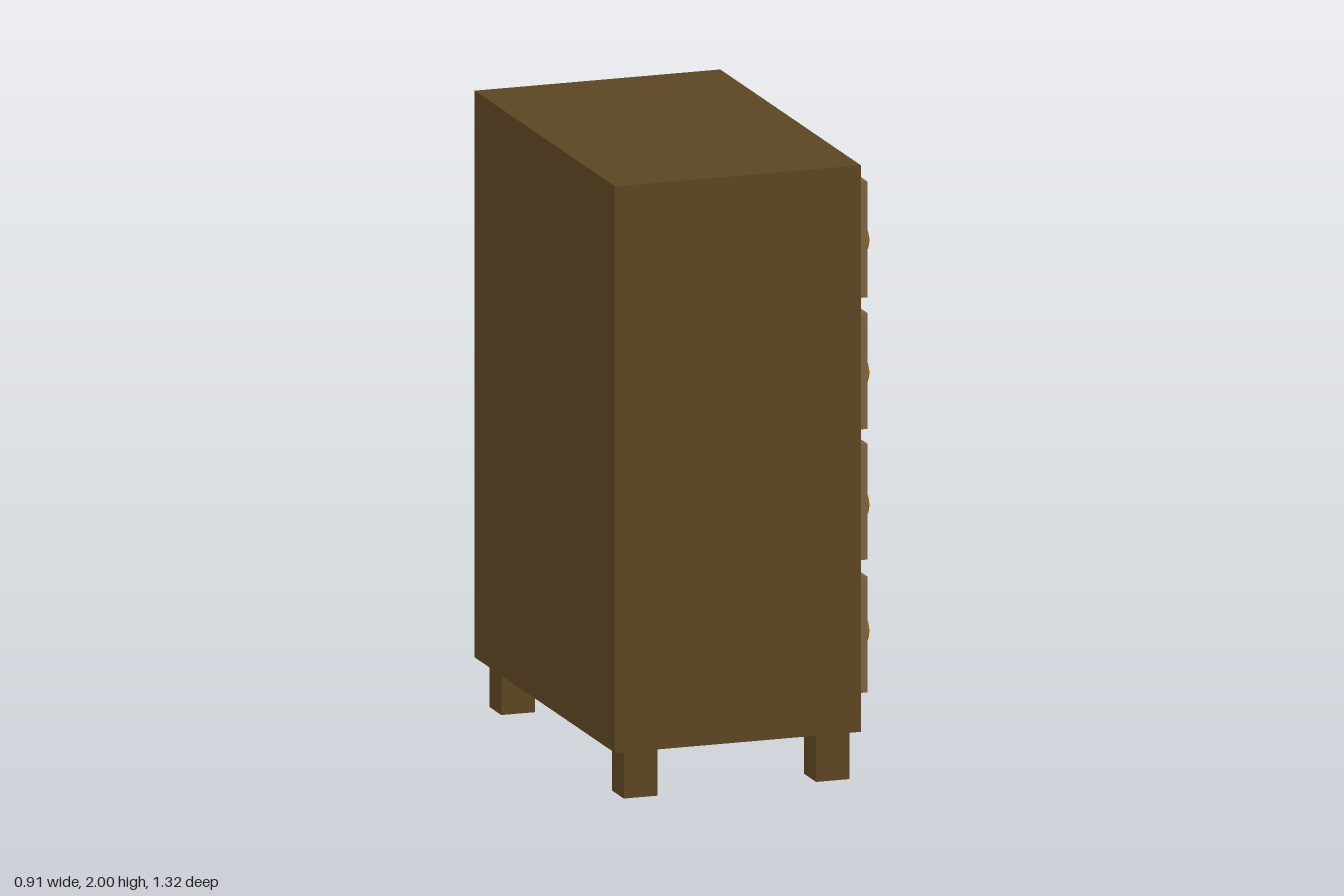
import * as THREE from 'three';

const wood = new THREE.MeshStandardMaterial({ color: 0x5c4522 });
const panel = new THREE.MeshStandardMaterial({ color: 0x7c6342 });
const brass = new THREE.MeshStandardMaterial({ color: 0xb08010 });

// Box given by its minimum and maximum corners
function box(name, material, [x0, y0, z0], [x1, y1, z1]) {
  const mesh = new THREE.Mesh(new THREE.BoxGeometry(x1 - x0, y1 - y0, z1 - z0), material);
  mesh.position.set((x0 + x1) / 2, (y0 + y1) / 2, (z0 + z1) / 2);
  mesh.name = name;
  return mesh;
}

export function createModel() {
  const model = new THREE.Group();
  model.name = 'chestOfDrawers';

  // Cabinet body
  model.add(box('cabinet', wood, [-0.455, 0.157, -0.66], [0.368, 2, 0.662]));

  // Four square legs
  for (const x of [-0.361, 0.283]) {
    for (const z of [-0.571, 0.581]) {
      model.add(box('leg', wood, [x - 0.056, 0, z - 0.056], [x + 0.056, 0.157, z + 0.056]));
    }
  }

  // Drawers facing +x: [bottom height, knob height], each with two part-sunk ball knobs
  const knobGeometry = new THREE.SphereGeometry(0.089, 32, 24);
  const rows = [[0.27, 0.445], [0.702, 0.855], [1.127, 1.285], [1.555, 1.716]];
  for (const [bottom, knobY] of rows) {
    const drawer = new THREE.Group();
    drawer.name = 'drawer';
    drawer.add(box('drawerFront', panel, [0.33, bottom, -0.605], [0.408, bottom + 0.377, 0.611]));
    for (const z of [-0.463, 0.483]) {
      const knob = new THREE.Mesh(knobGeometry, brass);
      knob.name = 'knob';
      knob.position.set(0.366, knobY, z);
      drawer.add(knob);
    }
    model.add(drawer);
  }
  return model;
}
